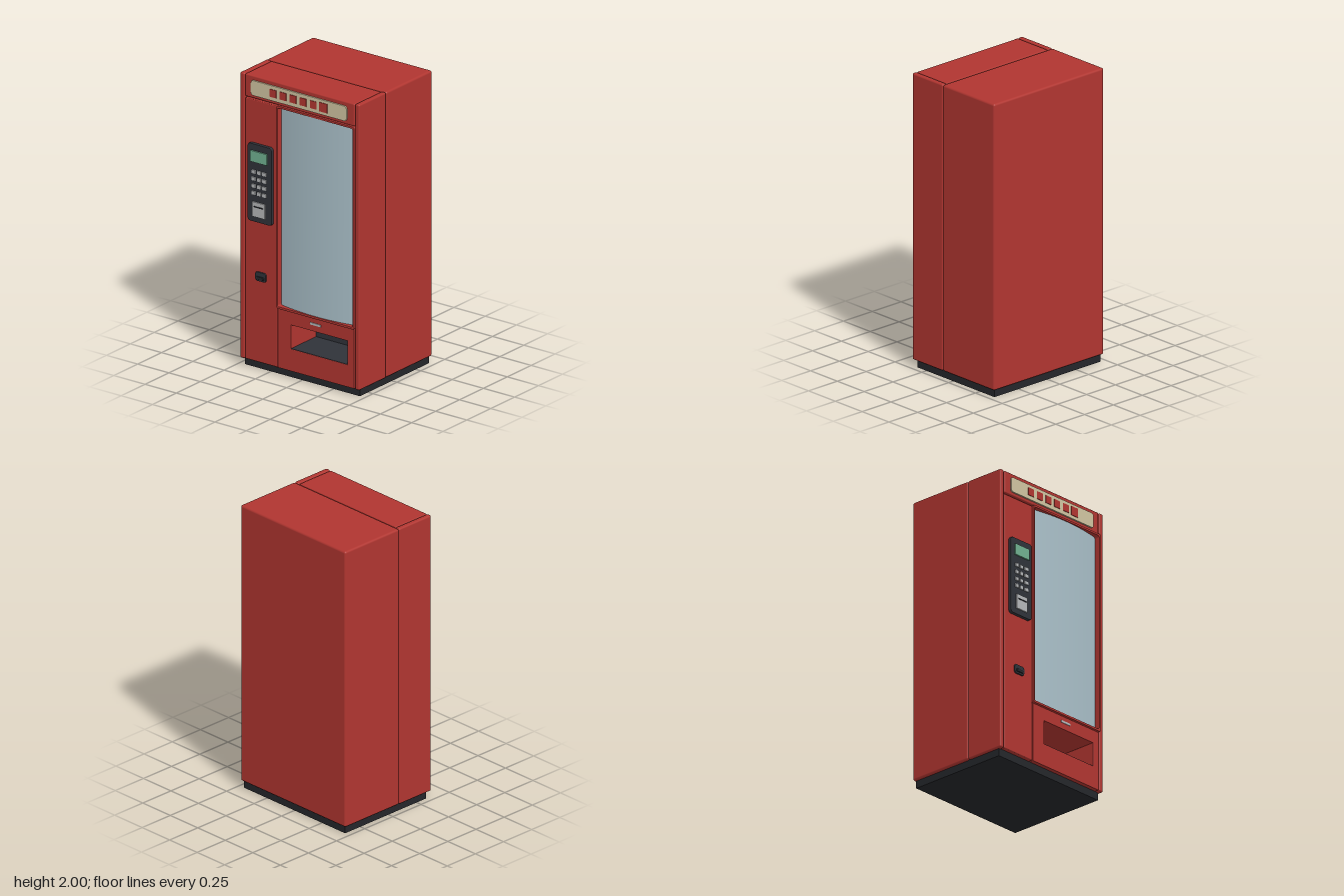
import * as THREE from 'three';
import { RoundedBoxGeometry } from 'three/addons/geometries/RoundedBoxGeometry.js';

const paint = (color, side = THREE.FrontSide) => {
  const m = new THREE.MeshStandardMaterial({ side });
  m.color.set(color);
  return m;
};

export function createModel() {
  const model = new THREE.Group();
  const red = paint(0xb03530), dark = paint(0x2f3239), black = paint(0x24262a);
  const cream = paint(0xd0c4a0), silver = paint(0xb4b6b8), green = paint(0x70b090);
  const glass = paint(0xa9bfc8, THREE.DoubleSide);

  const add = (name, geometry, material, parent = model) => {
    const mesh = new THREE.Mesh(geometry, material);
    mesh.name = name;
    parent.add(mesh);
    return mesh;
  };

  // Box from its limits on each axis; r > 0 rounds the edges
  const box = (name, [x0, x1], [y0, y1], [z0, z1], material, r = 0, parent = model) => {
    const size = [x1 - x0, y1 - y0, z1 - z0];
    const g = r ? new RoundedBoxGeometry(...size, 3, r) : new THREE.BoxGeometry(...size);
    g.translate((x0 + x1) / 2, (y0 + y1) / 2, (z0 + z1) / 2);
    return add(name, g, material, parent);
  };

  // Rectangle outline with rounded corners
  const outline = (path, [x0, x1], [y0, y1], r) => {
    path.moveTo(x0 + r, y0);
    path.lineTo(x1 - r, y0);
    path.absarc(x1 - r, y0 + r, r, -Math.PI / 2, 0);
    path.lineTo(x1, y1 - r);
    path.absarc(x1 - r, y1 - r, r, 0, Math.PI / 2);
    path.lineTo(x0 + r, y1);
    path.absarc(x0 + r, y1 - r, r, Math.PI / 2, Math.PI);
    path.lineTo(x0, y0 + r);
    path.absarc(x0 + r, y0 + r, r, Math.PI, Math.PI * 1.5);
    return path;
  };

  // Extruded plate with an optional rectangular opening and small bevel
  const plate = (name, xs, ys, [z0, z1], material, r, hole, bevel = 0.003) => {
    const inset = ([a, b]) => [a + bevel, b - bevel];
    const shape = outline(new THREE.Shape(), inset(xs), inset(ys), r);
    if (hole) shape.holes.push(outline(new THREE.Path(), ...hole));
    const g = new THREE.ExtrudeGeometry(shape, {
      depth: z1 - z0 - 2 * bevel, bevelEnabled: true, bevelSize: bevel,
      bevelThickness: bevel, bevelSegments: 2, curveSegments: 6,
    });
    g.translate(0, 0, z0 + bevel);
    return add(name, g, material);
  };

  // Cabinet, plinth and side posts
  box('plinth', [-0.46, 0.46], [0, 0.055], [-0.385, 0.335], black);
  box('cabinet', [-0.477, 0.477], [0.05, 2], [-0.4, 0.08], red, 0.014);
  for (const s of [-1, 1]) {
    const xs = s < 0 ? [-0.477, -0.441] : [0.441, 0.477];
    box(s < 0 ? 'rightPost' : 'leftPost', xs, [0.05, 2], [0.081, 0.365], red, 0.011);
  }

  // Door core behind the front panels
  box('doorCore', [-0.442, 0.442], [0.41, 1.99], [0.07, 0.325], red);
  box('headerPanel', [-0.437, 0.437], [1.845, 1.998], [0.087, 0.364], red, 0.008);
  box('controlPanel', [-0.437, -0.179], [0.053, 1.836], [0.087, 0.364], red, 0.006);

  // Lower panel with the open delivery bay
  plate('lowerPanel', [-0.175, 0.437], [0.053, 0.458], [0.087, 0.364], red, 0.003,
    [[-0.073, 0.386], [0.202, 0.371], 0.004]);
  box('bayBack', [-0.07, 0.383], [0.2, 0.37], [0.075, 0.1], dark);
  box('bayFloor', [-0.07, 0.383], [0.195, 0.207], [0.09, 0.362], dark);
  box('bayLabel', [0.087, 0.171], [0.411, 0.426], [0.36, 0.368], silver);

  // Window frame and gently bowed pane
  plate('windowFrame', [-0.179, 0.446], [0.46, 1.845], [0.31, 0.376], red, 0.012,
    [[-0.171, 0.433], [0.473, 1.833], 0.014]);
  const pane = new THREE.PlaneGeometry(0.61, 1.37, 24, 1);
  const p = pane.attributes.position;
  for (let i = 0; i < p.count; i++) {
    const t = p.getX(i) / 0.305;
    p.setZ(i, 0.335 + 0.035 * (1 - t * t));
  }
  pane.computeVertexNormals();
  pane.translate(0.131, 1.153, 0);
  add('windowPane', pane, glass);

  // Header sign with a row of square blocks
  plate('signPlate', [-0.385, 0.381], [1.867, 1.97], [0.36, 0.374], cream, 0.018);
  for (let i = 0; i < 6; i++) {
    const x = -0.204 + i * 0.0805, h = i === 5 ? 0.031 : 0.026;
    box('signBlock', [x - h, x + h], [1.92 - h, 1.92 + h], [0.37, 0.378], red);
  }

  // Payment console: screen, keypad and note slot
  plate('console', [-0.4, -0.209], [1.015, 1.545], [0.36, 0.386], dark, 0.016);
  box('screen', [-0.371, -0.24], [1.425, 1.5], [0.38, 0.396], green);
  for (let row = 0; row < 4; row++) {
    for (let col = 0; col < 3; col++) {
      const x = -0.349 + col * 0.043, y = 1.357 - row * 0.0483;
      box('key', [x - 0.016, x + 0.016], [y - 0.013, y + 0.013], [0.38, 0.393], silver, 0.003);
    }
  }
  box('notePlate', [-0.356, -0.257], [1.053, 1.153], [0.38, 0.395], silver);
  box('noteSlot', [-0.344, -0.269], [1.119, 1.126], [0.39, 0.399], black);

  // Coin return
  plate('coinReturn', [-0.35, -0.264], [0.61, 0.672], [0.36, 0.374], dark, 0.014);
  box('coinFlap', [-0.336, -0.278], [0.622, 0.643], [0.365, 0.38], black, 0.004);

  return model;
}
